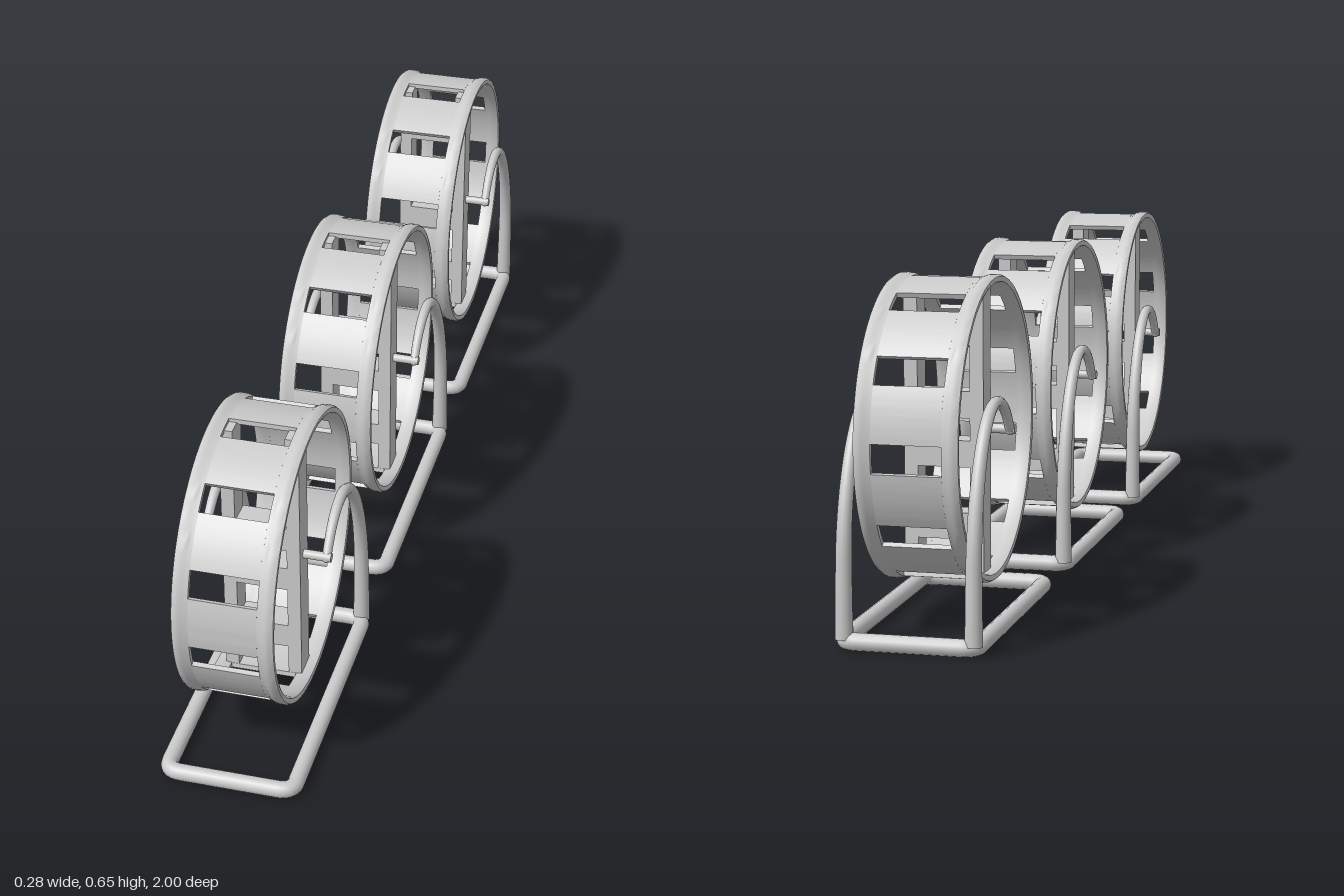
import * as THREE from 'three';
import { toCreasedNormals } from 'three/addons/utils/BufferGeometryUtils.js';

const material = new THREE.MeshStandardMaterial({ color: 0xcccccc });
const HUB_Y = 0.367;
const rad = THREE.MathUtils.degToRad;

function add(parent, name, geometry, x = 0, y = 0, z = 0) {
  const mesh = new THREE.Mesh(geometry, material);
  mesh.name = name;
  mesh.position.set(x, y, z);
  parent.add(mesh);
  return mesh;
}

// Rounded rim plus the unbroken edge of the running band, turned around the x axis
function rimGeometry(side) {
  const profile = [
    [0.271, 0.065], [0.281, 0.065], [0.281, 0.069], [0.284, 0.073], [0.2855, 0.08],
    [0.2855, 0.09], [0.282, 0.096], [0.277, 0.097], [0.272, 0.095], [0.27, 0.088],
    [0.27, 0.074], [0.271, 0.069], [0.271, 0.065],
  ].map(([r, x]) => new THREE.Vector2(r, x));
  const g = toCreasedNormals(new THREE.LatheGeometry(profile, 80), 0.7);
  return g.rotateZ(side > 0 ? -Math.PI / 2 : Math.PI / 2);
}

// Curved panel of the running band between two slots
function panelGeometry(from, to) {
  const shape = new THREE.Shape();
  shape.absarc(0, 0, 0.281, from, to, false);
  shape.absarc(0, 0, 0.271, to, from, true);
  const g = new THREE.ExtrudeGeometry(shape, { depth: 0.13, bevelEnabled: false, curveSegments: 8 });
  return toCreasedNormals(g.translate(0, 0, -0.065).rotateY(-Math.PI / 2), 0.5);
}

// Tube that narrows from one radius to another
function taperedTube(path, r0, r1, segments = 48, sides = 12) {
  const g = new THREE.TubeGeometry(path, segments, 1, sides, false);
  const pos = g.attributes.position;
  const v = new THREE.Vector3();
  for (let i = 0; i <= segments; i++) {
    const centre = path.getPointAt(i / segments);
    const r = THREE.MathUtils.lerp(r0, r1, i / segments);
    for (let j = 0; j <= sides; j++) {
      const k = i * (sides + 1) + j;
      v.fromBufferAttribute(pos, k).sub(centre).multiplyScalar(r).add(centre);
      pos.setXYZ(k, v.x, v.y, v.z);
    }
  }
  return g;
}

// Rounded rectangular loop lying on the ground
function baseGeometry() {
  const w = 0.124, d = 0.27, c = 0.028;
  const path = new THREE.CurvePath();
  const p = (x, z) => new THREE.Vector3(x, 0, z);
  const line = (a, b) => path.add(new THREE.LineCurve3(a, b));
  const bend = (a, m, b) => path.add(new THREE.QuadraticBezierCurve3(a, m, b));
  line(p(0, d), p(w - c, d));
  bend(p(w - c, d), p(w, d), p(w, d - c));
  line(p(w, d - c), p(w, c - d));
  bend(p(w, c - d), p(w, -d), p(w - c, -d));
  line(p(w - c, -d), p(c - w, -d));
  bend(p(c - w, -d), p(-w, -d), p(-w, c - d));
  line(p(-w, c - d), p(-w, d - c));
  bend(p(-w, d - c), p(-w, d), p(c - w, d));
  line(p(c - w, d), p(0, d));
  return new THREE.TubeGeometry(path, 200, 0.0165, 14, true);
}

function createWheel() {
  const wheel = new THREE.Group();
  wheel.name = 'wheel';
  wheel.position.y = HUB_Y;

  // Running band with evenly spaced slots
  const count = 11, step = 360 / count, half = 5.6;
  for (let i = 0; i < count; i++) {
    const slot = -13 + i * step;
    add(wheel, 'bandPanel', panelGeometry(rad(slot + half), rad(slot + step - half)));
  }

  // Ladder-shaped frame across the wheel
  for (const side of [-1, 1]) {
    add(wheel, 'rim', rimGeometry(side));
    add(wheel, 'frameUpright', new THREE.BoxGeometry(0.026, 0.548, 0.055), side * 0.063);
    for (const y of [0.046, 0.182]) {
      add(wheel, 'frameRung', new THREE.BoxGeometry(0.1, 0.05, 0.055), 0, side * y);
    }
  }
  return wheel;
}

function createStand() {
  const stand = new THREE.Group();
  stand.name = 'stand';
  add(stand, 'baseLoop', baseGeometry(), 0, 0.0165, 0);

  // Hooked arms rising from the rear corners to the hub
  const outline = [
    [0.02, -0.268], [0.12, -0.267], [0.21, -0.262], [0.29, -0.243], [0.365, -0.207],
    [0.412, -0.165], [0.432, -0.12], [0.428, -0.075], [0.405, -0.035], [0.365, 0],
  ];
  for (const side of [-1, 1]) {
    const path = new THREE.CatmullRomCurve3(
      outline.map(([y, z]) => new THREE.Vector3(side * 0.12, y, z)));
    add(stand, 'supportArm', taperedTube(path, 0.017, 0.009));
    add(stand, 'armTip', new THREE.SphereGeometry(0.0095, 14, 10), side * 0.12, 0.365, 0);
    const axle = new THREE.CylinderGeometry(0.009, 0.009, 0.06, 16).rotateZ(Math.PI / 2);
    add(stand, 'axle', axle, side * 0.1, HUB_Y, 0);
  }
  return stand;
}

export function createModel() {
  const model = new THREE.Group();
  model.name = 'exerciseWheels';
  for (const z of [-0.7135, 0, 0.7135]) {
    const unit = new THREE.Group();
    unit.name = 'exerciseWheel';
    unit.position.z = z;
    unit.add(createWheel(), createStand());
    model.add(unit);
  }
  return model;
}
